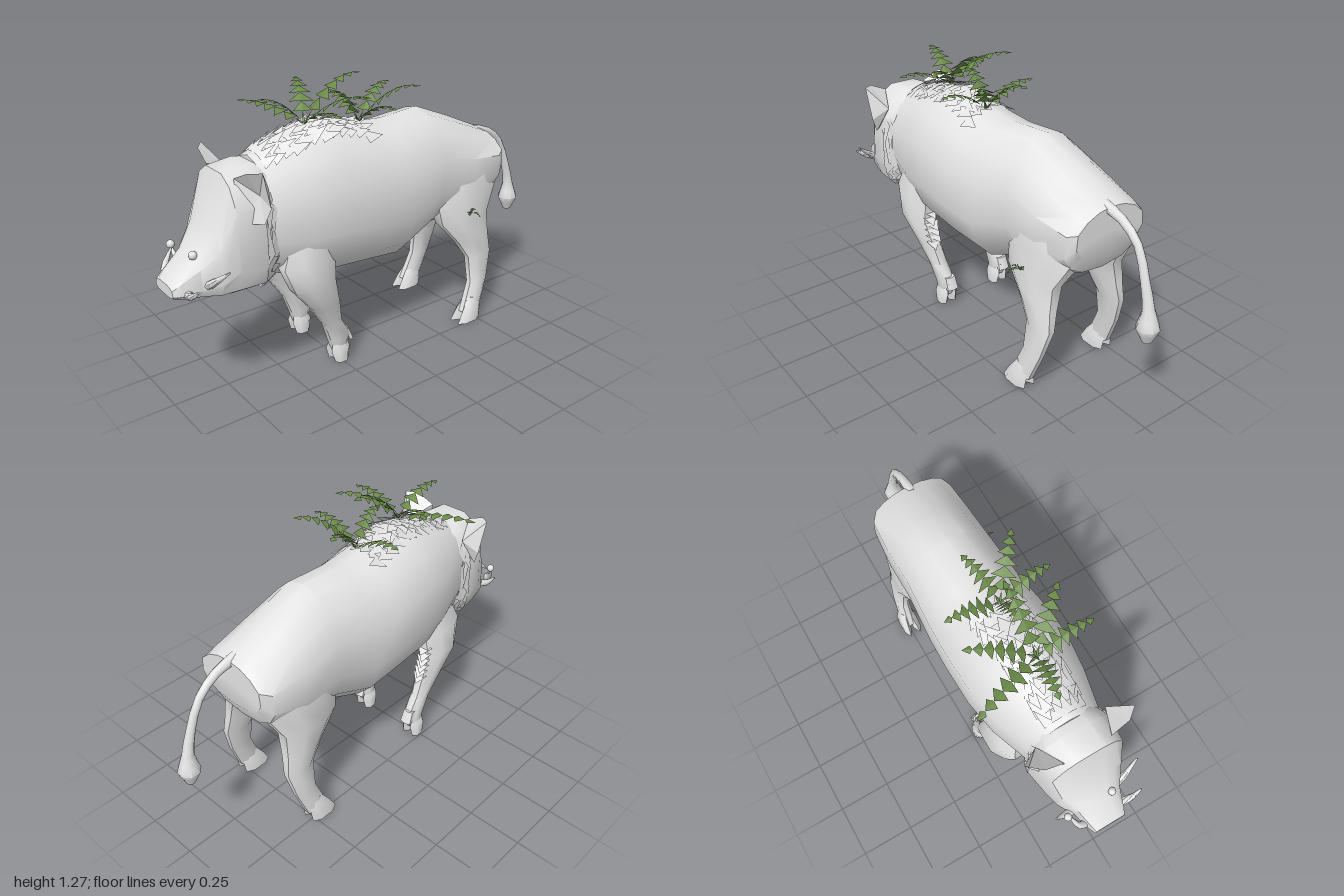
import * as THREE from 'three';
import { toCreasedNormals } from 'three/addons/utils/BufferGeometryUtils.js';

const hide = new THREE.MeshStandardMaterial({ color: 0xe4e4e4 });
const hair = new THREE.MeshStandardMaterial({ color: 0xe4e4e4, side: THREE.DoubleSide });
const leaf = new THREE.MeshStandardMaterial({ color: 0x6a8a48, side: THREE.DoubleSide });
hide.name = 'grey hide';
hair.name = 'grey bristle';
leaf.name = 'fern green';

const V = (x, y, z) => new THREE.Vector3(x, y, z);
let seed = 7;
const rnd = () => (seed = (seed * 16807) % 2147483647) / 2147483647;

// Closed skin over rings of points, capped at both ends
function loft(rings, crease = 0.6) {
  const n = rings[0].length, pos = [], idx = [];
  rings.forEach(r => r.forEach(p => pos.push(p.x, p.y, p.z)));
  const id = (i, j) => i * n + (j % n);
  for (let i = 0; i < rings.length - 1; i++)
    for (let j = 0; j < n; j++)
      idx.push(id(i, j), id(i, j + 1), id(i + 1, j), id(i, j + 1), id(i + 1, j + 1), id(i + 1, j));
  [0, rings.length - 1].forEach((i, end) => {
    const c = rings[i].reduce((a, p) => a.add(p), V(0, 0, 0)).divideScalar(n);
    const k = pos.length / 3;
    pos.push(c.x, c.y, c.z);
    for (let j = 0; j < n; j++) end ? idx.push(k, id(i, j), id(i, j + 1)) : idx.push(k, id(i, j + 1), id(i, j));
  });
  const g = new THREE.BufferGeometry();
  g.setAttribute('position', new THREE.Float32BufferAttribute(pos, 3));
  g.setIndex(idx);
  return toCreasedNormals(g, crease);
}

// Loose triangles, flat shaded
function faces(tris) {
  const g = new THREE.BufferGeometry().setFromPoints(tris);
  g.computeVertexNormals();
  return g;
}

// Profiles: rows of [z, centre x, top, bottom, half width]; a lower power is boxier
const BODY = { taper: 0.33, power: 0.8, rows: [
  [-0.71, -0.025, 0.89, 0.68, 0.18], [-0.67, -0.03, 0.91, 0.6, 0.21], [-0.5, -0.032, 0.985, 0.51, 0.222],
  [-0.31, -0.033, 1.06, 0.5, 0.222], [-0.1, -0.025, 1.045, 0.405, 0.242], [0.05, -0.018, 1.055, 0.425, 0.254],
  [0.25, -0.015, 1.105, 0.44, 0.255], [0.42, -0.01, 1.075, 0.455, 0.23], [0.6, 0, 1.02, 0.52, 0.18]] };
const HEAD = { taper: 0.3, power: 0.55, rows: [
  [0.56, 0, 1.0, 0.53, 0.16], [0.64, 0.005, 1.01, 0.49, 0.2], [0.755, 0.01, 1.0, 0.49, 0.185],
  [0.82, 0.01, 0.79, 0.5, 0.16], [0.89, 0.01, 0.69, 0.51, 0.115], [0.97, 0.01, 0.62, 0.52, 0.09],
  [1.0, 0.01, 0.585, 0.535, 0.078]] };

// Point on an upright section at angle a, pushed out by grow
function section({ taper, power }, [z, cx, top, bot, hw], a, grow = 0) {
  const [c, s] = [Math.cos(a), Math.sin(a)].map(v => Math.sign(v) * Math.abs(v) ** power);
  const w = hw * (s > 0 ? 1 - taper * s * s : 1) + grow;
  return V(cx + c * w, (top + bot) / 2 + s * ((top - bot) / 2 + grow), z);
}
const loop = (n, f) => Array.from({ length: n }, (_, j) => f((j + 0.5) / n * Math.PI * 2));
const sectionLoft = (shape, n) => loft(shape.rows.map(r => loop(n, a => section(shape, r, a))));

// Interpolated section anywhere along a profile
function rowAt(rows, z) {
  let i = 0;
  while (i < rows.length - 2 && rows[i + 1][0] < z) i++;
  const t = (z - rows[i][0]) / (rows[i + 1][0] - rows[i][0]);
  return rows[i].map((v, k) => v + (rows[i + 1][k] - v) * t);
}

// Level sections [y, x, z, rx, rz], listed downwards
const limb = (rows, n = 8) => loft(rows.map(([y, x, z, rx, rz]) =>
  loop(n, a => V(x + Math.cos(a) * rx, y, z + Math.sin(a) * rz))), 0.85);

// Round tube of changing radius along a curve
function taperTube(points, radii, steps = 10, n = 7) {
  const curve = new THREE.CatmullRomCurve3(points), rings = [];
  for (let i = 0; i <= steps; i++) {
    const t = i / steps, f = t * (radii.length - 1), k = Math.min(Math.floor(f), radii.length - 2);
    const r = radii[k] + (radii[k + 1] - radii[k]) * (f - k);
    const c = curve.getPoint(t), d = curve.getTangent(t);
    const u = V(1, 0, 0).addScaledVector(d, -d.x).normalize(), v = d.clone().cross(u);
    rings.push(loop(n, a => c.clone().addScaledVector(u, Math.cos(a) * r).addScaledVector(v, Math.sin(a) * r)));
  }
  return loft(rings, 0.95);
}

// Jagged rows of bristle laid backwards over a profile
function bristles(shape, zs, a0, a1, count, length, lift) {
  const tris = [];
  for (const z of zs) for (let j = 0; j < count; j++) {
    const a = a0 + (a1 - a0) * (j + rnd() * 0.5) / count, w = (a1 - a0) / count * 0.8;
    const row = rowAt(shape.rows, z), l = length * (0.6 + rnd() * 0.6);
    tris.push(section(shape, row, a - w, 0.003), section(shape, row, a + w, 0.003),
      section(shape, rowAt(shape.rows, z - l), a + w * (rnd() - 0.5), lift * (0.5 + rnd())));
  }
  return faces(tris);
}

// Arching frond of paired pointed leaflets
function frond(root, tip, width, tris) {
  const mid = root.clone().lerp(tip, 0.5);
  mid.y = Math.max(root.y, tip.y) + 0.03;
  const curve = new THREE.QuadraticBezierCurve3(root, mid, tip), n = 7;
  const along = tip.clone().sub(root).setY(0).normalize(), side = V(along.z, 0, -along.x);
  for (let i = 0; i < n; i++) {
    const t0 = i / n, a = curve.getPoint(t0), b = curve.getPoint((i + 1) / n);
    const w = i === 0 ? 0.006 : width * (1.05 - t0 * t0) * (i === 1 ? 0.7 : 1);
    for (const s of [-1, 1]) {
      const o = a.clone().lerp(b, 0.25).addScaledVector(side, s * w);
      o.y -= w * 0.2;
      tris.push(a, o, b);
    }
  }
}

export function createModel() {
  const group = new THREE.Group();
  const add = (name, geo, mat = hide) => {
    const m = new THREE.Mesh(geo, mat);
    m.name = name;
    group.add(m);
    return m;
  };

  // Trunk, head and hair
  add('body', sectionLoft(BODY, 14));
  add('head', sectionLoft(HEAD, 12));
  add('mane', bristles(BODY, Array.from({ length: 12 }, (_, i) => 0.08 + i * 0.045),
    1.0, Math.PI - 1.0, 6, 0.075, 0.016), hair);
  add('cheekRuff', bristles(HEAD, [0.61, 0.64], -Math.PI - 0.3, 0.3, 16, 0.05, 0.012), hair);

  // Cupped ears
  for (const s of [-1, 1]) {
    const p = (x, y, z) => V(0.012 + s * x, y, z);
    const rim = [p(0.11, 0.985, 0.73), p(0.195, 1.025, 0.72), p(0.245, 1.032, 0.68),
      p(0.237, 0.88, 0.645), p(0.21, 0.81, 0.66), p(0.14, 0.81, 0.73)];
    const cup = p(0.18, 0.92, 0.66), back = p(0.165, 0.93, 0.61), tris = [];
    rim.forEach((r, i) => {
      const q = rim[(i + 1) % rim.length];
      s > 0 ? tris.push(cup, q, r, back, r, q) : tris.push(cup, r, q, back, q, r);
    });
    add(s > 0 ? 'leftEar' : 'rightEar', faces(tris), hair);
  }

  // Eyes and tusks
  [[0.065, 0.69, 0.895], [-0.147, 0.66, 0.89]].forEach(e =>
    add('eye', new THREE.SphereGeometry(0.018, 12, 8)).position.set(...e));
  [[V(0.08, 0.55, 0.87), V(0.16, 0.6, 0.86), V(0.24, 0.665, 0.83)],
    [V(0.06, 0.54, 0.93), V(0.14, 0.56, 0.95), V(0.2, 0.6, 0.945)],
    [V(-0.06, 0.535, 0.94), V(-0.11, 0.58, 0.94), V(-0.14, 0.65, 0.89)],
    [V(-0.07, 0.55, 0.87), V(-0.14, 0.58, 0.87), V(-0.19, 0.63, 0.87)]
  ].forEach(p => add('tusk', taperTube(p, [0.022, 0.016, 0.004], 6)));

  // Legs with cloven hooves; the front pair leans slightly sideways
  for (const s of [-1, 1]) {
    const hooves = (x, z0, z1, r0, r1) => [-1, 1].forEach(t => add('hoof', limb([
      [0.13, x + t * 0.012, z0, 0.015, r0 * 0.6],
      [0.07, x + t * 0.022, (z0 + z1) / 2, 0.026, r0],
      [0.012, x + t * 0.027, z1, 0.022, r1]], 6)));
    const frontX = -0.04 + s * 0.158, hindX = -0.014 + s * 0.226;
    add('frontLeg', limb([[0.72, 0.14, 0.38, 0.05, 0.12], [0.56, 0.165, 0.43, 0.07, 0.135],
      [0.45, 0.182, 0.41, 0.068, 0.11], [0.33, 0.175, 0.345, 0.052, 0.075],
      [0.22, 0.164, 0.295, 0.041, 0.048], [0.13, 0.158, 0.25, 0.042, 0.06], [0.06, 0.158, 0.25, 0.036, 0.035]]
      .map(([y, x, ...r]) => [y, -0.045 + 0.06 * y + s * x, ...r])));
    hooves(frontX, 0.255, 0.25, 0.05, 0.035);
    add('frontDewclaw', limb([[0.16, frontX, 0.22, 0.03, 0.02], [0.1, frontX, 0.195, 0.034, 0.016]], 6));
    add('hindLeg', limb([[0.86, 0.09, -0.5, 0.08, 0.17], [0.78, 0.115, -0.49, 0.09, 0.2],
      [0.66, 0.14, -0.485, 0.085, 0.205], [0.53, 0.168, -0.46, 0.066, 0.155], [0.42, 0.185, -0.51, 0.05, 0.105],
      [0.33, 0.198, -0.545, 0.038, 0.078], [0.2, 0.215, -0.53, 0.034, 0.058], [0.06, 0.226, -0.475, 0.036, 0.06]]
      .map(([y, x, ...r]) => [y, -0.012 - 0.02 * y + s * x, ...r])));
    hooves(hindX, -0.49, -0.45, 0.058, 0.07);
    // Ragged hair behind the elbows
    const tris = [];
    for (let i = 0; i < 6; i++) {
      const y = 0.5 - i * 0.03, z = 0.32 - i * 0.006, x = -0.02 + s * 0.175;
      tris.push(V(x - 0.04, y, z), V(x + 0.04, y, z), V(x + (rnd() - 0.5) * 0.04, y - 0.04, z - 0.04));
    }
    add('elbowHair', faces(tris), hair);
  }

  // Tail with a tufted tip
  add('tail', taperTube([V(-0.02, 0.885, -0.67), V(-0.02, 0.86, -0.77), V(-0.02, 0.79, -0.86),
    V(-0.015, 0.66, -0.915), V(-0.015, 0.55, -0.945), V(-0.015, 0.47, -0.95), V(-0.015, 0.405, -0.95)],
    [0.026, 0.02, 0.018, 0.02, 0.026, 0.05, 0.02], 12, 8));

  // Ferns: a root, then the frond tips
  const ferns = [
    [V(0.01, 1.1, 0.33), [0.27, 1.18, 0.33], [-0.33, 1.15, 0.45], [0.22, 1.22, 0.14],
      [-0.25, 1.23, 0.2], [-0.03, 1.22, 0.55], [0.02, 1.28, 0.05]],
    [V(0.01, 1.06, 0.05), [-0.24, 1.15, 0.04], [0.25, 1.16, 0.04], [-0.05, 1.2, -0.16],
      [0.18, 1.22, -0.15], [0.01, 1.21, 0.2]]];
  ferns.forEach(([root, ...tips]) => {
    const tris = [];
    tips.forEach(t => frond(root, V(...t), 0.054, tris));
    add('fern', faces(tris), leaf);
  });
  const sprig = [];
  [[0.28, 0.575, -0.45], [0.22, 0.58, -0.48], [0.24, 0.575, -0.42]].forEach(t =>
    frond(V(0.21, 0.565, -0.45), V(...t), 0.015, sprig));
  add('hipSprig', faces(sprig), leaf);
  return group;
}
